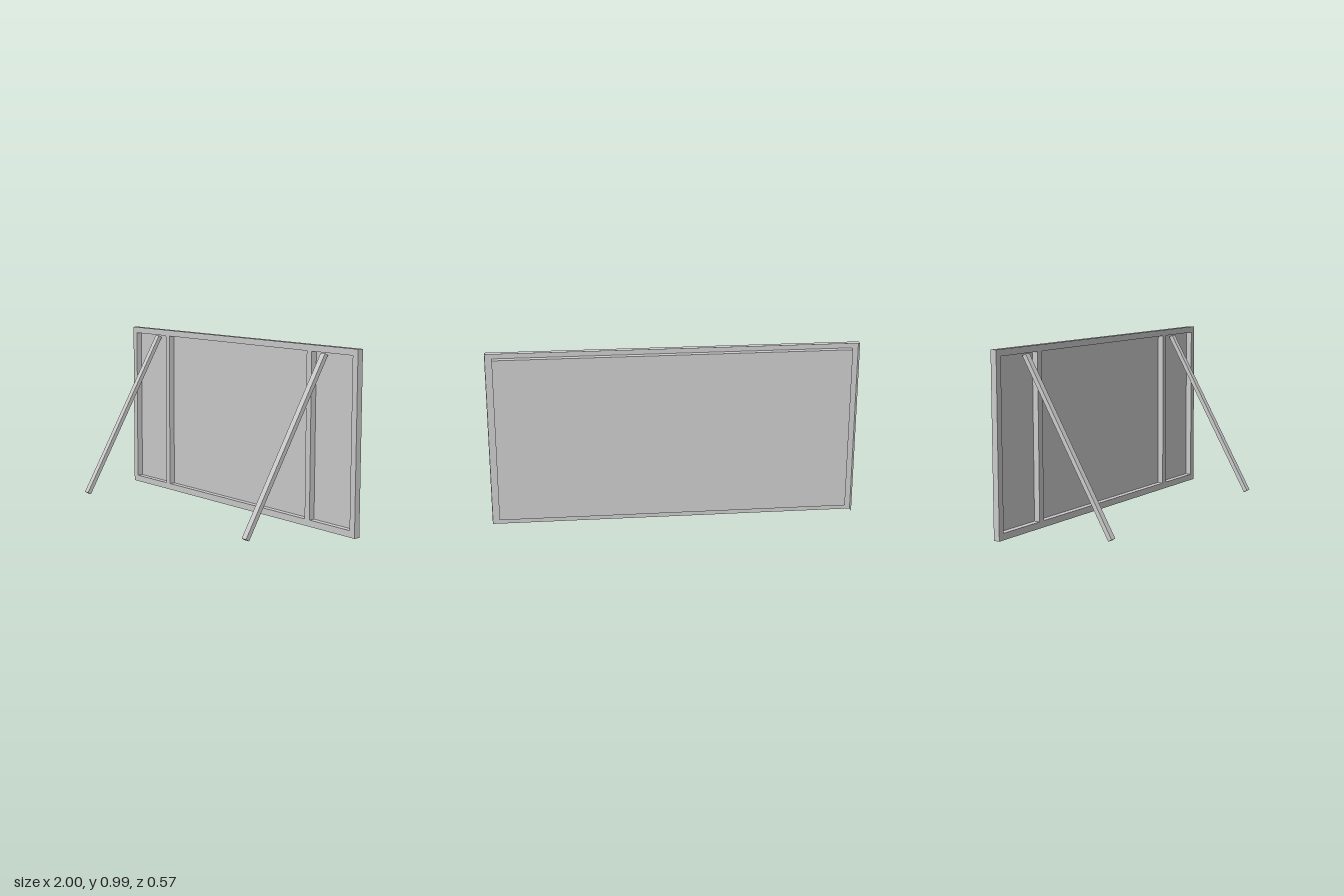
import * as THREE from 'three';

const W = 1, H = 0.985;               // frame half width, height
const IX = 0.963, IB = 0.037, IT = 0.95; // inner opening
const ZF = -0.248, ZB = -0.283;       // front and back planes
const D = ZF - ZB, ZM = (ZF + ZB) / 2;

const solid = new THREE.MeshStandardMaterial({ color: 0xcccccc });
const sheet = new THREE.MeshStandardMaterial({ color: 0xcccccc, side: THREE.DoubleSide });

export function createModel() {
  const model = new THREE.Group();

  const add = (name, geometry, material, x, y, z) => {
    const mesh = new THREE.Mesh(geometry, material);
    mesh.name = name;
    mesh.position.set(x, y, z);
    model.add(mesh);
    return mesh;
  };
  // thin sheets spanning the depth of the frame
  const sideWall = (name, x, y0, y1) =>
    add(name, new THREE.PlaneGeometry(D, y1 - y0).rotateY(Math.sign(x) * Math.PI / 2), sheet, x, (y0 + y1) / 2, ZM);
  const levelWall = (name, y, halfWidth, facing) =>
    add(name, new THREE.PlaneGeometry(2 * halfWidth, D).rotateX(-facing * Math.PI / 2), sheet, 0, y, ZM);

  // front face of the frame, a ring around the opening
  const ring = new THREE.Shape([[-W, 0], [W, 0], [W, H], [-W, H]].map(p => new THREE.Vector2(...p)));
  ring.holes.push(new THREE.Path([[-IX, IB], [-IX, IT], [IX, IT], [IX, IB]].map(p => new THREE.Vector2(...p))));
  add('frameFace', new THREE.ShapeGeometry(ring), sheet, 0, 0, ZF);

  // frame walls: open at the back and along the bottom
  levelWall('frameTop', H, W, 1);
  levelWall('openingTop', IT, IX, 1);
  levelWall('openingBottom', IB, IX, -1);

  // panel closing the opening at the back
  add('panel', new THREE.PlaneGeometry(2 * IX, IT - IB), sheet, 0, (IT + IB) / 2, ZB);

  for (const s of [-1, 1]) {
    const side = s > 0 ? 'left' : 'right';
    sideWall(side + 'FrameSide', s * W, 0, H);
    sideWall(side + 'OpeningSide', s * IX, IB, IT);

    // upright batten across the panel
    add(side + 'Batten', new THREE.BoxGeometry(0.038, IT - IB, D - 0.001), solid,
      s * 0.636, (IT + IB) / 2, ZM + 0.0005);

    // slanted prop leg
    add(side + 'Leg', new THREE.BoxGeometry(0.034, 1.061, 0.024), solid, s * 0.742, 0.4815, 0.007)
      .rotation.x = -Math.PI / 6;
  }
  return model;
}
